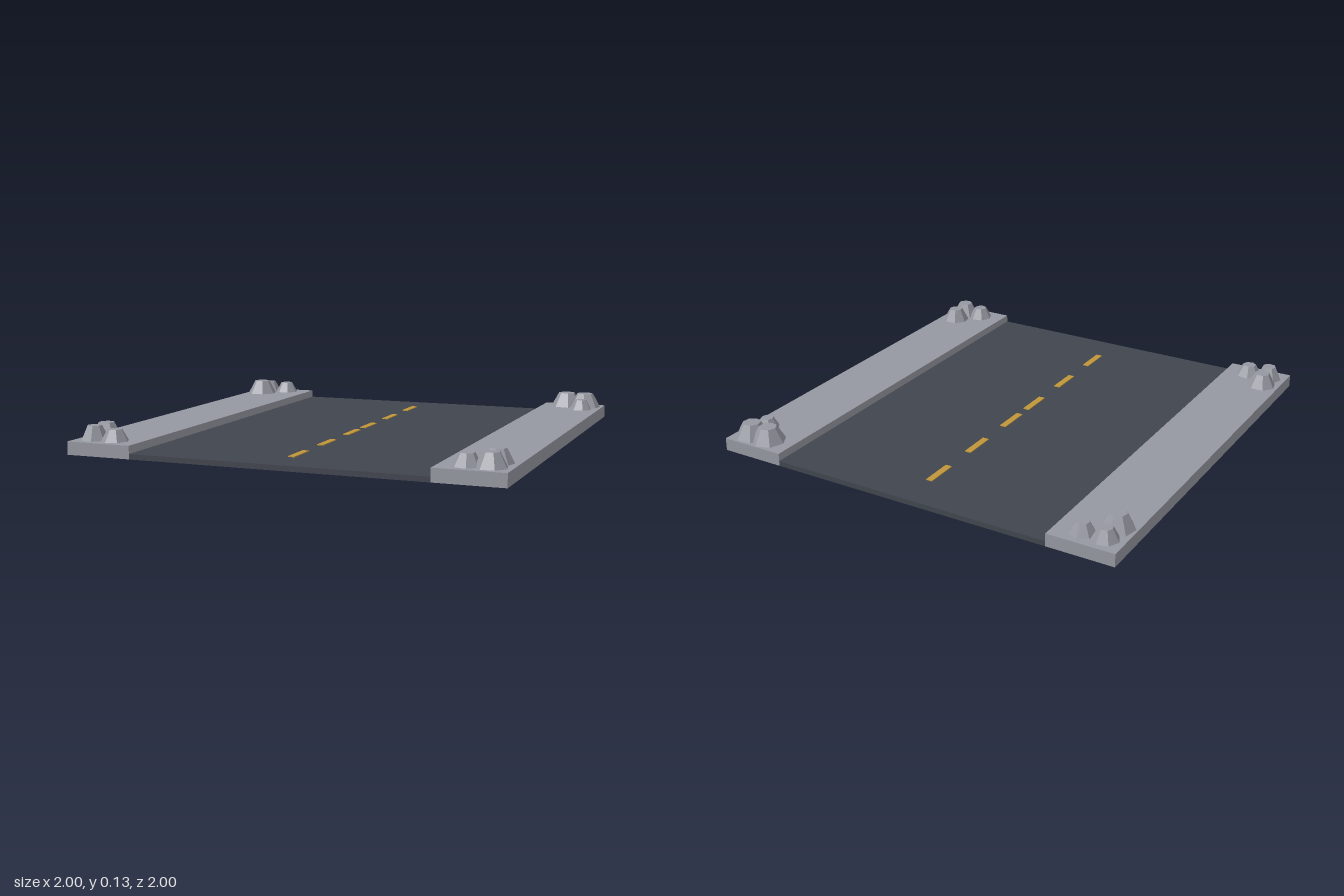
import * as THREE from 'three';

const material = (name, color, extra = {}) => {
  const m = new THREE.MeshStandardMaterial({ color, ...extra });
  m.name = name;
  return m;
};

export function createModel() {
  const model = new THREE.Group();
  model.name = 'roadTile';

  const asphalt = material('asphalt', 0x41454e);
  const concrete = material('concrete', 0x9698a1);
  const stone = material('stone', 0x9698a1, { flatShading: true });
  const paint = material('yellowPaint', 0xc0963a);

  const add = (name, geometry, mat, x, y, z) => {
    const mesh = new THREE.Mesh(geometry, mat);
    mesh.name = name;
    mesh.position.set(x, y, z);
    model.add(mesh);
    return mesh;
  };

  // Road slab between two raised pavements
  const edge = 0.687, roadTop = 0.024, kerbTop = 0.06;
  add('road', new THREE.BoxGeometry(edge * 2, roadTop, 2), asphalt, 0, roadTop / 2, 0);
  for (const side of [-1, 1]) {
    add(side > 0 ? 'leftPavement' : 'rightPavement',
      new THREE.BoxGeometry(1 - edge, kerbTop, 2), concrete,
      side * (1 + edge) / 2, kerbTop / 2, 0);
  }

  // Dashed centre line
  const dash = new THREE.BoxGeometry(0.031, 0.004, 0.157);
  for (const side of [-1, 1]) {
    for (const z of [0.11, 0.42, 0.735]) add('laneDash', dash, paint, 0, roadTop + 0.002, side * z);
  }

  // Corner rubble: seven-sided tapered stones [x, z, radius, height, turn]
  const stones = [
    [-0.915, -0.915, 0.06, 0.055, 0.2],
    [-0.81, -0.915, 0.06, 0.052, 0.5],
    [-0.915, -0.81, 0.078, 0.07, Math.PI],
    [0.815, -0.915, 0.08, 0.07, 0.3],
    [0.91, -0.915, 0.08, 0.07, 0.1],
    [0.91, -0.81, 0.056, 0.05, 0.4],
    [-0.915, 0.81, 0.07, 0.065, 0],
    [-0.915, 0.91, 0.064, 0.065, 0.3],
    [-0.81, 0.91, 0.063, 0.053, Math.PI / 2],
    [0.91, 0.81, 0.068, 0.063, 0],
    [0.91, 0.91, 0.07, 0.065, 0.45],
    [0.81, 0.91, 0.062, 0.055, 0.2],
  ];
  for (const [x, z, r, h, turn] of stones) {
    const rock = add('stone', new THREE.CylinderGeometry(r * 0.52, r, h, 7), stone, x, kerbTop + h / 2, z);
    rock.rotation.y = turn;
  }

  return model;
}
